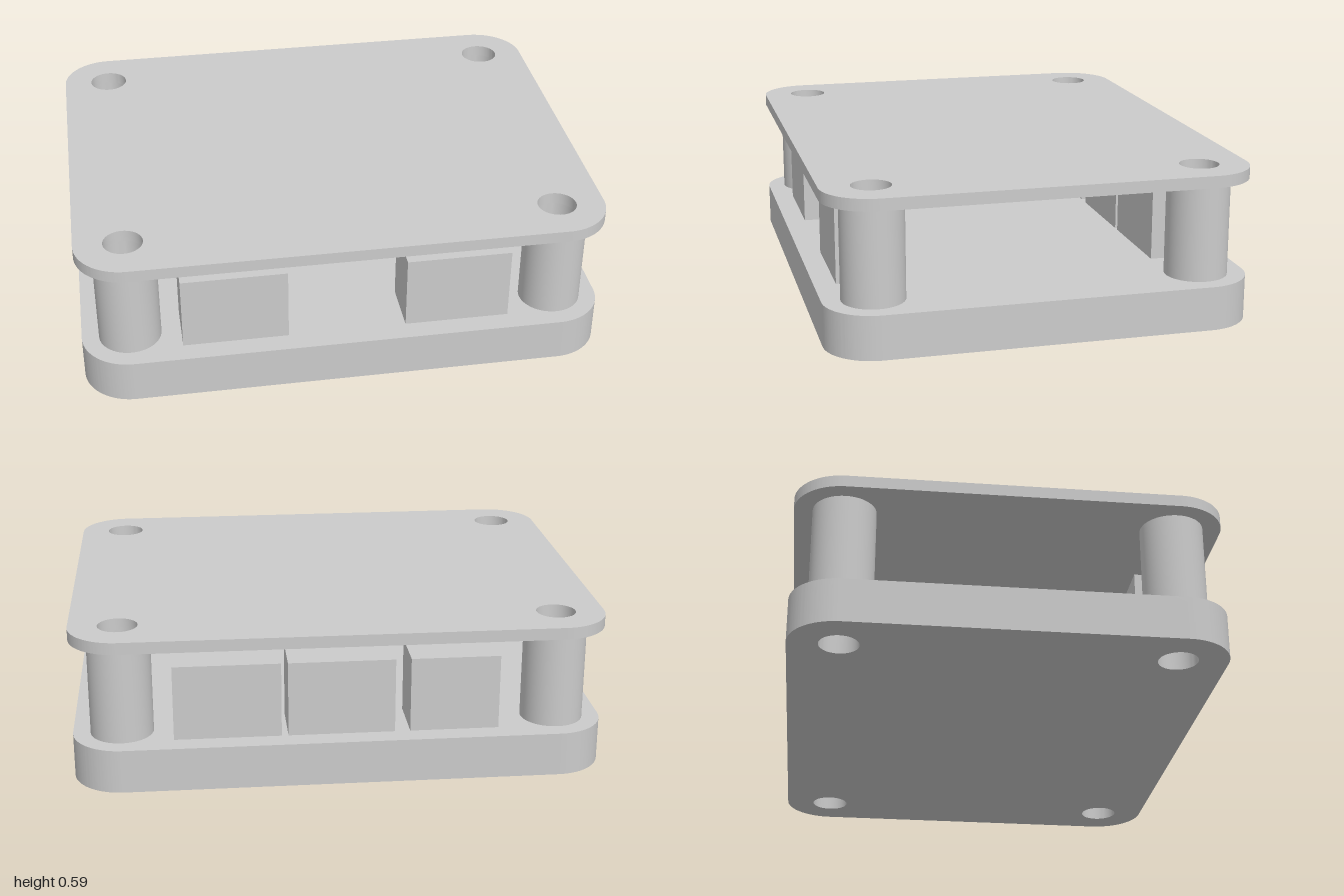
import * as THREE from 'three';
import { toCreasedNormals } from 'three/addons/utils/BufferGeometryUtils.js';

const HOLE_X = 0.817, HOLE_Z = 0.613, HOLE_R = 0.074;
const BASE_TOP = 0.167, LID_BOTTOM = 0.542, LID_TOP = 0.587;
const CORNERS = [[-1, -1], [1, -1], [1, 1], [-1, 1]];

function circle(x, y, r) {
  return new THREE.Path().absarc(x, y, r, 0, Math.PI * 2, true);
}

// Extrudes a plan outline upwards from y0 to y1
function slab(shape, y0, y1) {
  const flat = new THREE.ExtrudeGeometry(shape, { depth: y1 - y0, bevelEnabled: false, curveSegments: 24 });
  flat.rotateX(-Math.PI / 2).translate(0, y0, 0);
  return toCreasedNormals(flat, Math.PI / 6);
}

// Rounded rectangle with a bolt hole in each corner
function plateShape(halfX, halfZ, r) {
  const shape = new THREE.Shape();
  shape.absarc(halfX - r, halfZ - r, r, 0, Math.PI / 2);
  shape.absarc(-halfX + r, halfZ - r, r, Math.PI / 2, Math.PI);
  shape.absarc(-halfX + r, -halfZ + r, r, Math.PI, Math.PI * 1.5);
  shape.absarc(halfX - r, -halfZ + r, r, Math.PI * 1.5, Math.PI * 2);
  shape.closePath();
  for (const [sx, sz] of CORNERS) shape.holes.push(circle(sx * HOLE_X, sz * HOLE_Z, HOLE_R));
  return shape;
}

export function createModel() {
  const model = new THREE.Group();
  model.name = 'standoffPlateAssembly';
  const material = new THREE.MeshStandardMaterial({ color: 0xcccccc });
  const add = (name, geometry) => {
    const mesh = new THREE.Mesh(geometry, material);
    mesh.name = name;
    model.add(mesh);
    return mesh;
  };

  // Thick base and thin cover plate
  add('basePlate', slab(plateShape(1, 0.8, 0.187), 0, BASE_TOP));
  add('topPlate', slab(plateShape(1, 0.8, 0.187), LID_BOTTOM, LID_TOP));

  // Hollow corner posts in line with the bolt holes
  const ring = new THREE.Shape().absarc(0, 0, 0.118, 0, Math.PI * 2);
  ring.holes.push(circle(0, 0, HOLE_R));
  const postGeometry = slab(ring, BASE_TOP, LID_BOTTOM);
  for (const [sx, sz] of CORNERS) {
    add('cornerPost', postGeometry).position.set(sx * HOLE_X, 0, sz * HOLE_Z);
  }

  // Blocks along the edges: [name, centre x, centre z, width]
  const blocks = [
    ['frontRightBlock', -0.425, 0.613, 0.4],
    ['frontLeftBlock', 0.425, 0.613, 0.4],
    ['backLeftBlock', 0.425, -0.613, 0.4],
    ['backMiddleBlock', 0, -0.613, 0.4],
    ['backRightBlock', -0.425, -0.613, 0.335],
  ];
  const height = 0.455 - BASE_TOP;
  for (const [name, x, z, width] of blocks) {
    add(name, new THREE.BoxGeometry(width, height, 0.21)).position.set(x, BASE_TOP + height / 2, z);
  }
  return model;
}
